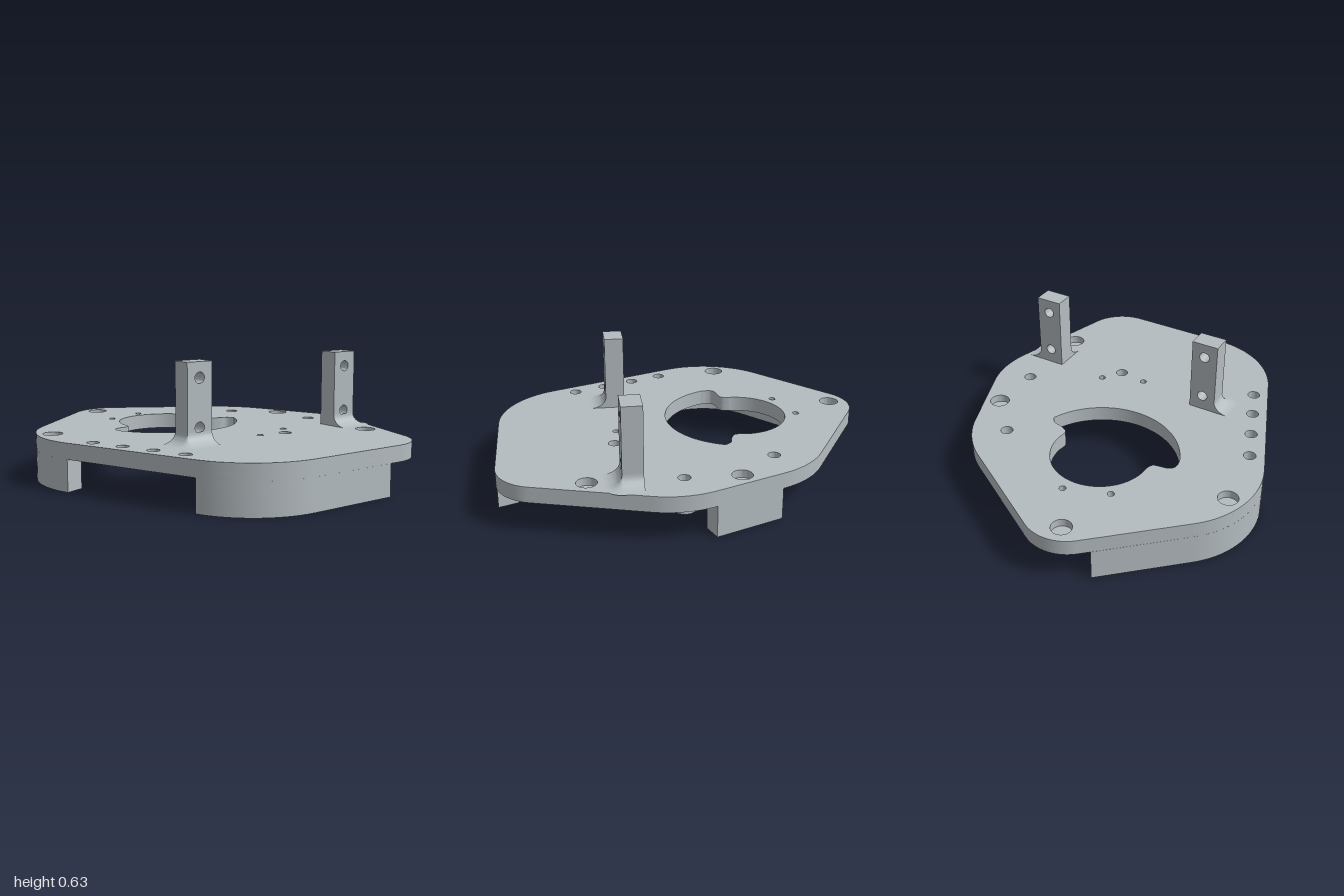
import * as THREE from 'three';
import { toCreasedNormals } from 'three/addons/utils/BufferGeometryUtils.js';

const grey = new THREE.MeshStandardMaterial({ color: 0xb4bcc0 });
grey.name = 'light grey';

const V = (x, z) => new THREE.Vector2(x, z);

// Polyline with rounded corners; each entry is [x, z, radius]
function rounded(corners) {
  const out = [], n = corners.length;
  corners.forEach(([x, z, r], i) => {
    const c = V(x, z);
    if (!r) return out.push(c);
    const p = corners[(i + n - 1) % n], q = corners[(i + 1) % n];
    const a = V(p[0], p[1]).sub(c).normalize(), b = V(q[0], q[1]).sub(c).normalize();
    const half = Math.acos(a.dot(b)) / 2;
    const centre = c.clone().add(a.clone().add(b).normalize().multiplyScalar(r / Math.sin(half)));
    const from = c.clone().addScaledVector(a, r / Math.tan(half)).sub(centre);
    const to = c.clone().addScaledVector(b, r / Math.tan(half)).sub(centre);
    const turn = Math.atan2(from.cross(to), from.dot(to));
    for (let k = 0; k <= 16; k++) {
      out.push(from.clone().rotateAround(V(0, 0), turn * k / 16).add(centre));
    }
  });
  return out;
}

const circle = (x, z, r) => new THREE.Path().absarc(x, z, r, 0, Math.PI * 2);

function arc(cx, cz, r, a0, a1, n) {
  return Array.from({ length: n + 1 }, (_, i) => {
    const a = THREE.MathUtils.degToRad(a0 + (a1 - a0) * i / n);
    return V(cx + r * Math.cos(a), cz + r * Math.sin(a));
  });
}

const extrude = (shape, depth) =>
  new THREE.ExtrudeGeometry(shape, { depth, bevelEnabled: false, curveSegments: 24 });

function mesh(name, geometry) {
  const m = new THREE.Mesh(toCreasedNormals(geometry, 0.5), grey);
  m.name = name;
  return m;
}

// Horizontal slab of an x/z outline between two heights
function slab(name, points, holes, y0, y1) {
  const shape = new THREE.Shape(points);
  shape.holes.push(...holes);
  return mesh(name, extrude(shape, y1 - y0).rotateX(Math.PI / 2).translate(0, y1, 0));
}

// Upright bracket with two cross holes and concave flares on its +x and side*z faces
function bracket(name, x, z, side) {
  const g = new THREE.Group();
  g.name = name;
  const W = 0.1, L = 0.14, R = 0.08, H = 0.06, height = 0.39;
  const body = new THREE.Shape([V(-L / 2, 0), V(L / 2, 0), V(L / 2, height), V(-L / 2, height)]);
  body.holes.push(circle(0, 0.08, 0.027), circle(0, 0.315, 0.027));
  g.add(mesh('bracketPost', extrude(body, W).translate(0, 0, -W / 2).rotateY(Math.PI / 2)));

  // Concave profile from the foot up to the post face
  const curve = Array.from({ length: 13 }, (_, i) => {
    const a = (i / 12) * Math.PI / 2;
    return V(R * (1 - Math.sin(a)), H * (1 - Math.cos(a)));
  });
  const flare = length => extrude(new THREE.Shape([V(0, 0), ...curve]), length).translate(0, 0, -length / 2);
  g.add(mesh('sideFlare', flare(L).translate(W / 2, 0, 0)));
  g.add(mesh('endFlare', flare(W).rotateY(-side * Math.PI / 2).translate(0, 0, side * L / 2)));
  const corner = new THREE.LatheGeometry(curve, 10, side > 0 ? 0 : Math.PI / 2, Math.PI / 2);
  g.add(mesh('cornerFlare', corner.translate(W / 2, 0, side * L / 2)));
  g.position.set(x, 0.24, z);
  g.rotation.y = -0.37;
  return g;
}

export function createModel() {
  const model = new THREE.Group();
  model.name = 'mountingPlate';

  // Six-sided plate outline
  const half = [[0.343, -0.75, 0.46], [1.043, -0.208, 0.22], [0.684, 0.74, 0.46]];
  const outline = rounded([...half, ...half.map(([x, z, r]) => [-x, z, r]).reverse()]);

  // Central opening: two arcs of different radius joined by lobes
  const lowerLobe = new THREE.SplineCurve([V(-0.365, 0.33), V(-0.41, 0.315), V(-0.427, 0.28),
    V(-0.415, 0.205), V(-0.455, 0.172)]).getPoints(20);
  const upperLobe = new THREE.SplineCurve([V(-0.271, -0.292), V(-0.215, -0.268), V(-0.17, -0.305),
    V(-0.145, -0.34), V(-0.105, -0.352)]).getPoints(20);
  const opening = new THREE.Path([
    ...arc(-0.365, -0.06, 0.39, -42, 89, 40), ...lowerLobe,
    ...arc(-0.365, -0.06, 0.25, 113, 290, 40), ...upperLobe]);

  // Through holes
  const bosses = [[-0.25, -0.565], [0.25, -0.565], [0.37, -0.07]];
  const frontRow = [-0.268, -0.09, 0.087, 0.264].map(x => [x, 0.665]);
  const pinHoles = [[-0.65, -0.19], [-0.655, 0.04], [0.305, -0.17], [0.3, 0.06]];
  const through = [opening,
    ...[...bosses, ...frontRow].map(([x, z]) => circle(x, z, 0.031)),
    ...pinHoles.map(([x, z]) => circle(x, z, 0.017))];

  // Upper layer also carries the shallow round recesses
  const recesses = [[0, -0.67], [0.665, -0.395], [-0.91, -0.14], [-0.6, 0.58]]
    .map(([x, z]) => circle(x, z, 0.05));
  model.add(slab('plateTop', outline, [...through, ...recesses], 0.2, 0.24));
  model.add(slab('plateBottom', outline, through, 0.16, 0.2));

  // Skirt walls along the front corners
  for (const s of [1, -1]) {
    const wall = rounded([[0.365, 0.74, 0], [0.684, 0.74, 0.46], [0.965, 0, 0],
      [0.858, 0, 0], [0.615, 0.64, 0.36], [0.365, 0.64, 0]]);
    model.add(slab('cornerWall', wall.map(p => V(s * p.x, p.y)), [], 0, 0.16));
    const lug = arc(0.81, 0.18, 0.07, 90, 270, 16);
    model.add(slab('wallLug', lug.map(p => V(s * p.x, p.y)), [], 0.1, 0.16));
  }

  // Back wall
  model.add(slab('backWall', [V(-0.18, -0.75), V(0.18, -0.75), V(0.18, -0.655), V(-0.18, -0.655)],
    [], 0, 0.16));

  // Hollow bosses under the plate
  for (const [x, z] of bosses) {
    model.add(slab('boss', arc(x, z, 0.06, 0, 352.5, 47), [circle(x, z, 0.031)], 0.08, 0.16));
  }

  model.add(bracket('frontBracket', 0.14, 0.415, 1));
  model.add(bracket('backBracket', 0.47, -0.465, -1));
  return model;
}
